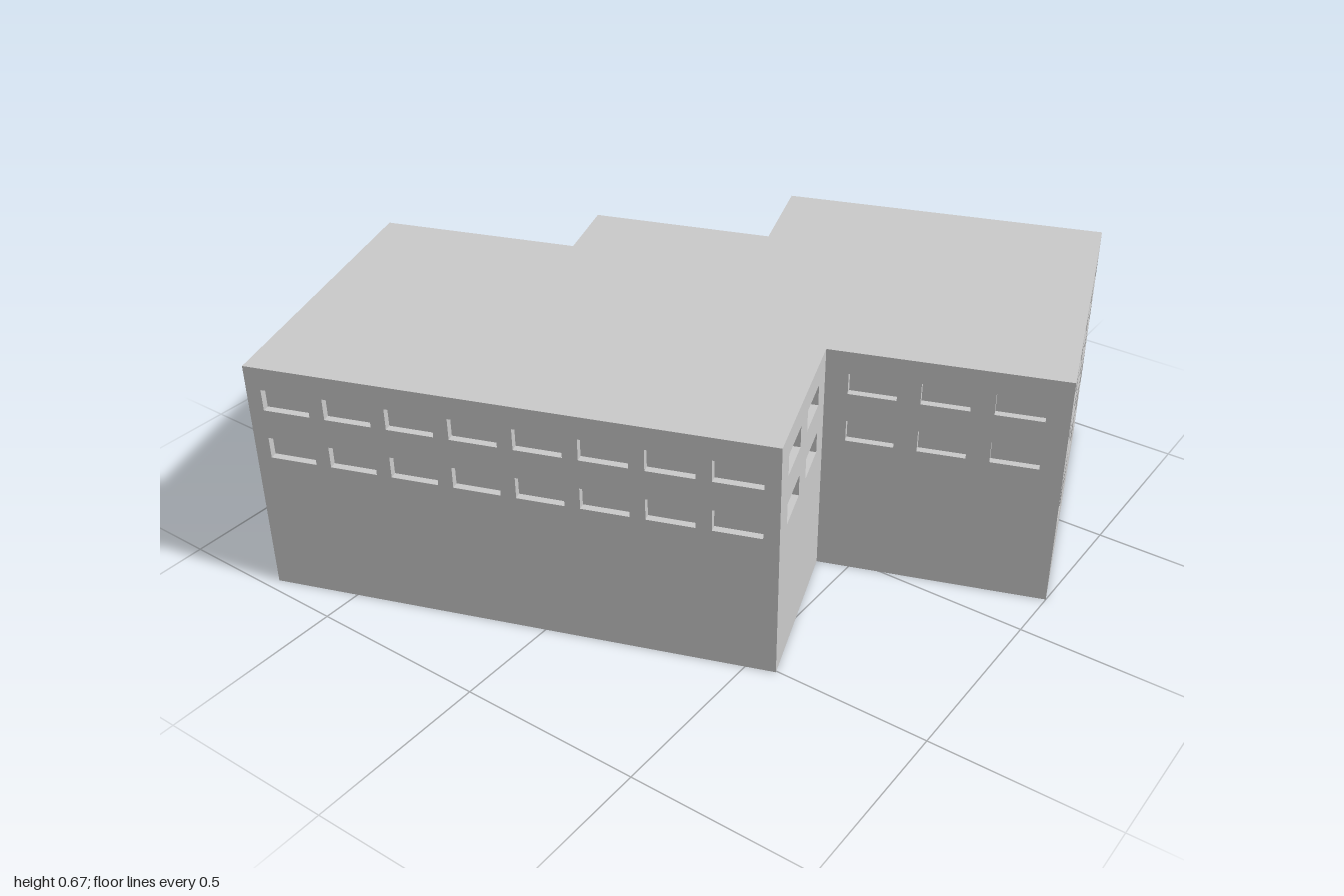
import * as THREE from 'three';

const HEIGHT = 0.67, WIN_W = 0.126, RECESS = 0.02;
const material = new THREE.MeshStandardMaterial({ color: 0xcccccc, flatShading: true, side: THREE.DoubleSide });

// Each wall starts at corner (x, z) and runs to the next one, with the outside on its front.
// bays = windows per floor, ground = has a ground floor row with a door
const walls = [
  { name: 'frontWall', x: 0.15, z: 1.0, bays: 5, ground: true },
  { name: 'rightWallFront', x: 0.965, z: 0.71, bays: 5, ground: true },
  { name: 'stepWallFront', x: 0.66, z: -0.15, bays: 1 },
  { name: 'rightWallMiddle', x: 0.39, z: -0.055, bays: 3, ground: true },
  { name: 'stepWallBack', x: 0.22, z: -0.54, bays: 1 },
  { name: 'rightWallBack', x: 0.02, z: -0.47, bays: 3, ground: true },
  { name: 'backWall', x: -0.17, z: -1.0, bays: 5 },
  { name: 'leftWallLong', x: -0.968, z: -0.717, bays: 8 },
  { name: 'frontWallInset', x: -0.504, z: 0.575, bays: 2 },
  { name: 'leftWallShort', x: -0.06, z: 0.417, bays: 3 },
];

// Rectangular outline given by its centre and size
function rectangle(Type, cx, cy, w, h) {
  const p = new Type();
  p.moveTo(cx - w / 2, cy - h / 2);
  p.lineTo(cx + w / 2, cy - h / 2);
  p.lineTo(cx + w / 2, cy + h / 2);
  p.lineTo(cx - w / 2, cy + h / 2);
  p.closePath();
  return p;
}

// Recess behind an opening: a box without its front face
function makeRecess({ name, cx, cy, w, h }) {
  const geo = new THREE.BoxGeometry(w, h, RECESS);
  const index = Array.from(geo.index.array);
  index.splice(24, 6);
  geo.setIndex(index);
  geo.clearGroups();
  geo.translate(cx, cy, -RECESS / 2);
  const mesh = new THREE.Mesh(geo, material);
  mesh.name = name;
  return mesh;
}

function makeWall(wall, next) {
  const dx = next.x - wall.x, dz = next.z - wall.z;
  const length = Math.hypot(dx, dz);
  const gap = (length - wall.bays * WIN_W) / (wall.bays + 1);

  // Openings: two upper rows, and a ground row with a door in the second bay
  const openings = [];
  for (let i = 0; i < wall.bays; i++) {
    const cx = gap + WIN_W / 2 + i * (WIN_W + gap);
    for (const cy of [0.435, 0.577]) openings.push({ name: 'window', cx, cy, w: WIN_W, h: 0.06 });
    if (!wall.ground) continue;
    if (i === 1) openings.push({ name: 'door', cx, cy: 0.225, w: 0.055, h: 0.11 });
    else openings.push({ name: 'groundWindow', cx, cy: 0.25, w: WIN_W, h: 0.12 });
  }

  const shape = rectangle(THREE.Shape, length / 2, HEIGHT / 2, length, HEIGHT);
  for (const o of openings) shape.holes.push(rectangle(THREE.Path, o.cx, o.cy, o.w, o.h));

  const group = new THREE.Group();
  group.name = wall.name;
  const face = new THREE.Mesh(new THREE.ShapeGeometry(shape), material);
  face.name = 'wallFace';
  group.add(face, ...openings.map(makeRecess));
  group.position.set(wall.x, 0, wall.z);
  group.rotation.y = Math.atan2(-dz, dx);
  return group;
}

export function createModel() {
  const model = new THREE.Group();
  model.name = 'building';
  walls.forEach((wall, i) => model.add(makeWall(wall, walls[(i + 1) % walls.length])));

  // Flat roof over the stepped footprint
  const outline = new THREE.Shape(walls.map(({ x, z }) => new THREE.Vector2(x, -z)));
  const roof = new THREE.Mesh(new THREE.ShapeGeometry(outline).rotateX(-Math.PI / 2), material);
  roof.position.y = HEIGHT;
  roof.name = 'roof';
  model.add(roof);
  return model;
}
